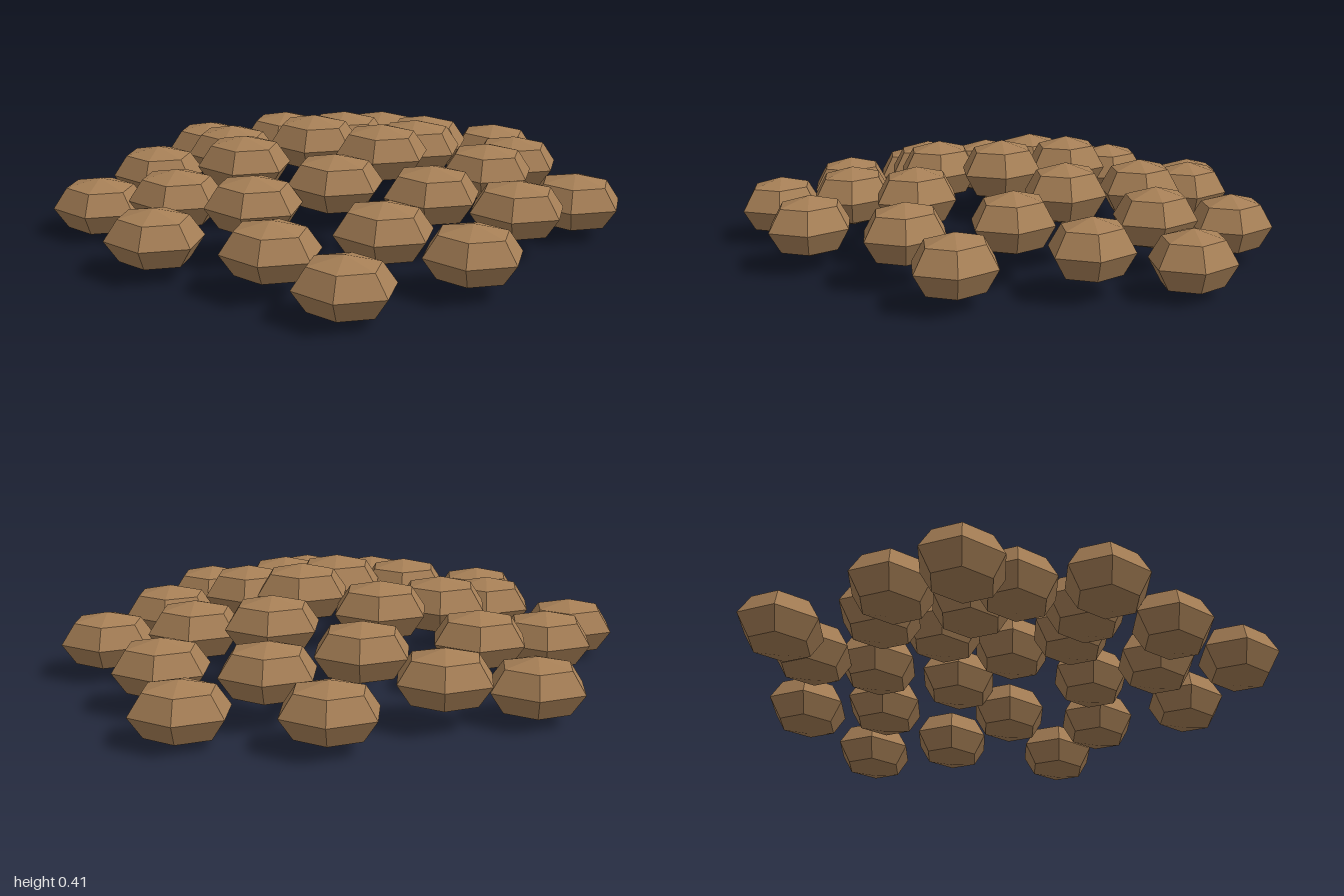
import * as THREE from 'three';

// Centre of each nugget: x, y, z
const CENTRES = [
  [-0.02, 0.13, -0.825], [0.457, 0.112, -0.8], [-0.377, 0.167, -0.59],
  [-0.68, 0.122, -0.52], [-0.1, 0.217, -0.475], [0.2, 0.183, -0.61],
  [0.575, 0.152, -0.5], [-0.495, 0.196, -0.243], [-0.147, 0.278, -0.18],
  [0.222, 0.25, -0.297], [0.508, 0.201, -0.21], [0.842, 0.132, -0.14],
  [-0.735, 0.147, -0.065], [-0.358, 0.242, 0.035], [0.144, 0.3, -0.035],
  [-0.845, 0.108, 0.243], [-0.532, 0.177, 0.286], [0.04, 0.264, 0.25],
  [0.372, 0.23, 0.195], [0.66, 0.17, 0.11], [-0.21, 0.215, 0.404],
  [0.265, 0.192, 0.495], [0.565, 0.145, 0.51], [-0.503, 0.137, 0.59],
  [-0.072, 0.158, 0.668], [0.21, 0.122, 0.818],
];

export function createModel() {
  const model = new THREE.Group();
  model.name = 'nuggetPile';

  const brown = new THREE.MeshStandardMaterial({ color: 0xa67f56, flatShading: true });
  brown.name = 'nuggetBrown';

  // Squashed six-sided ball with corners facing front and back
  const nugget = new THREE.SphereGeometry(1, 6, 4);
  nugget.rotateY(Math.PI / 6);
  nugget.scale(0.179, 0.107, 0.148);

  // Low mound of identical nuggets, highest in the middle
  CENTRES.forEach(([x, y, z], i) => {
    const mesh = new THREE.Mesh(nugget, brown);
    mesh.name = `nugget${i + 1}`;
    mesh.position.set(x, y, z);
    model.add(mesh);
  });

  return model;
}
